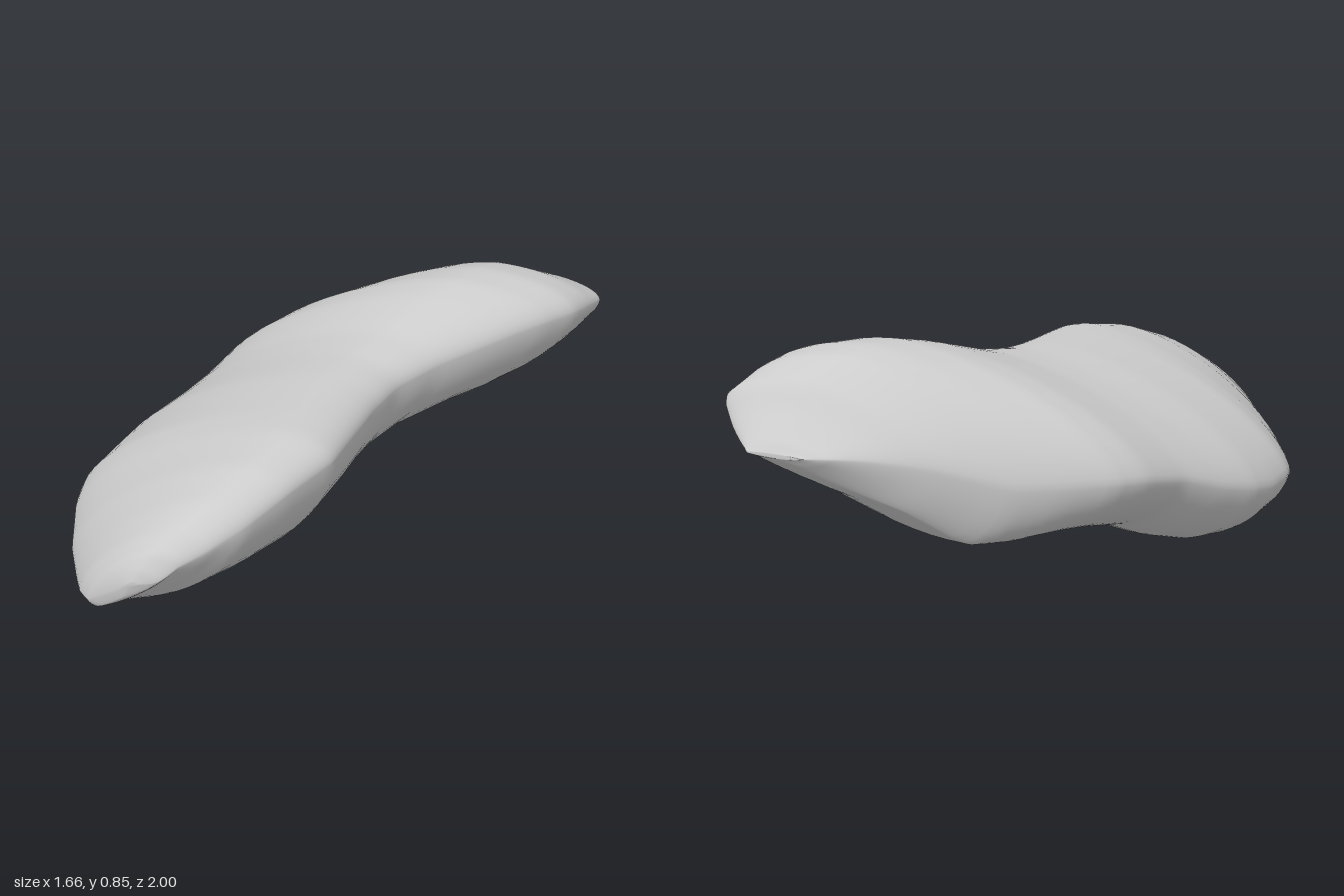
import * as THREE from 'three';

// Extents from back to front: z, left x, right x, bottom y, top y
const EXTENTS = [
  [-1.0, 0.46, 0.66, 0.545, 0.56],
  [-0.98, 0.38, 0.68, 0.52, 0.59],
  [-0.9, 0.20, 0.77, 0.43, 0.68],
  [-0.84, 0.07, 0.83, 0.36, 0.76],
  [-0.72, -0.16, 0.80, 0.22, 0.835],
  [-0.62, -0.31, 0.77, 0.205, 0.855],
  [-0.5, -0.46, 0.68, 0.205, 0.85],
  [-0.4, -0.53, 0.58, 0.20, 0.825],
  [-0.2, -0.60, 0.36, 0.16, 0.755],
  [-0.05, -0.69, 0.25, 0.08, 0.73],
  [0.1, -0.775, 0.21, 0.025, 0.725],
  [0.22, -0.81, 0.195, 0.0, 0.72],
  [0.36, -0.83, 0.18, 0.01, 0.715],
  [0.46, -0.815, 0.17, 0.03, 0.71],
  [0.65, -0.745, 0.075, 0.08, 0.67],
  [0.8, -0.66, -0.02, 0.14, 0.61],
  [0.9, -0.60, -0.12, 0.18, 0.54],
  [0.96, -0.54, -0.21, 0.21, 0.48],
  [0.99, -0.42, -0.27, 0.30, 0.42],
  [1.0, -0.37, -0.33, 0.36, 0.38],
];

// Where the outline touches its extents, as fractions, and the lower right arc:
// z, height of left tip, bottom point across, height of right tip, top point across, arc
const TIPS = [
  [-1.0, 0.5, 0.4, 0.6, 0.6, 1.2],
  [-0.84, 0.38, 0.15, 0.78, 0.6, 1.25],
  [-0.7, 0.35, 0.18, 0.78, 0.63, 1.25],
  [-0.5, 0.34, 0.3, 0.8, 0.7, 1.2],
  [-0.1, 0.34, 0.3, 0.84, 0.8, 1.15],
  [0.36, 0.32, 0.3, 0.86, 0.82, 1.15],
  [0.65, 0.18, 0.25, 0.86, 0.82, 1.15],
  [0.82, 0.1, 0.22, 0.84, 0.8, 1.2],
  [0.96, 0.08, 0.1, 0.85, 0.78, 1.65],
  [1.0, 0.2, 0.2, 0.7, 0.6, 1.7],
];

// Roundness of the other arcs: 1 is an ellipse, 2 a straight line
const UPPER_RIGHT = 1, UPPER_LEFT = 1.33, LOWER_LEFT = 1.15;

function lookUp(table) {
  const size = table[0].length - 1;
  const values = table.flatMap((row) => row.slice(1));
  const line = new THREE.LinearInterpolant(table.map((row) => row[0]), values, size, new Float32Array(size));
  return (z) => [...line.evaluate(z)];
}

function bodyGeometry(rows = 96, sides = 64) {
  const extents = lookUp(EXTENTS), tips = lookUp(TIPS);
  const mix = THREE.MathUtils.lerp;
  const pos = [], idx = [];

  // Lens-like rings; the extra first and last rings close the ends
  for (let j = -1; j <= rows + 1; j++) {
    const z = Math.cos(Math.PI * THREE.MathUtils.clamp(j / rows, 0, 1));
    const [l, r, b, t] = extents(z);
    const [fl, fb, fr, ft, lowerRight] = tips(z);
    const arcs = [UPPER_RIGHT, UPPER_LEFT, LOWER_LEFT, lowerRight];
    const closed = j < 0 || j > rows;
    const topX = mix(l, r, ft), bottomX = mix(l, r, fb);
    const leftY = mix(b, t, fl), rightY = mix(b, t, fr);
    for (let i = 0; i < sides; i++) {
      const quarter = Math.floor((4 * i) / sides);
      const q = (i / sides) * Math.PI * 2;
      const c = Math.abs(Math.cos(q)) ** arcs[quarter];
      const s = Math.abs(Math.sin(q)) ** arcs[quarter];
      const upper = quarter < 2, right = quarter === 0 || quarter === 3;
      const x = mix(upper ? topX : bottomX, right ? r : l, c);
      const y = mix(right ? rightY : leftY, upper ? t : b, s);
      pos.push(closed ? (l + r) / 2 : x, closed ? (b + t) / 2 : y, z);
    }
  }
  for (let j = 0; j < rows + 2; j++) {
    for (let i = 0; i < sides; i++) {
      const k = (i + 1) % sides, p = j * sides, n = p + sides;
      idx.push(p + i, n + i, p + k, p + k, n + i, n + k);
    }
  }
  const g = new THREE.BufferGeometry();
  g.setAttribute('position', new THREE.Float32BufferAttribute(pos, 3));
  g.setIndex(idx);
  g.computeVertexNormals();
  return g;
}

export function createModel() {
  const group = new THREE.Group();
  group.name = 'bentPebble';
  const body = new THREE.Mesh(bodyGeometry(), new THREE.MeshStandardMaterial({ color: 0xcccccc }));
  body.name = 'body';
  group.add(body);
  return group;
}
